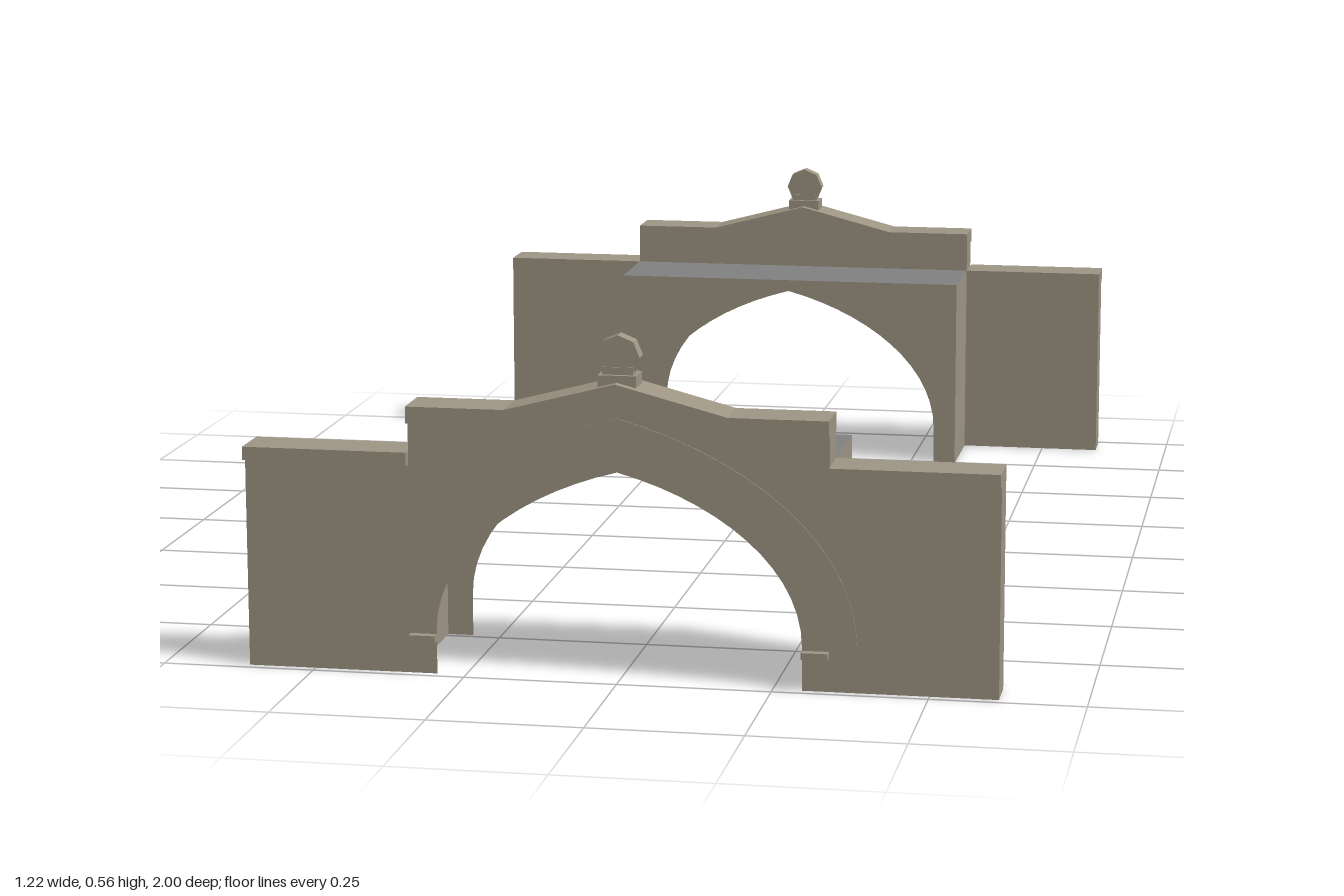
import * as THREE from 'three';

const stone = new THREE.MeshStandardMaterial({ color: 0x9f9685, side: THREE.DoubleSide });
stone.name = 'stone';
const roofGrey = new THREE.MeshStandardMaterial({ color: 0x828282, side: THREE.DoubleSide });
roofGrey.name = 'roof grey';

const Z_BLOCK = 0.74, Z_BACK = 0.92, Z_WALL = 0.985, Z_TRIM = 1;
const HALF = 0.61, INNER = 0.34, WING_TOP = 0.365;

// Pointed arch from the right springing over the apex to the left one
function archPoints(w, spring, apex, n = 14) {
  const curve = new THREE.CubicBezierCurve(
    new THREE.Vector2(w, spring),
    new THREE.Vector2(w, spring + (apex - spring) * 0.48),
    new THREE.Vector2(w * 0.54, spring + (apex - spring) * 0.85),
    new THREE.Vector2(0, apex)
  );
  const right = curve.getPoints(n);
  const left = right.slice(0, -1).reverse().map((p) => new THREE.Vector2(-p.x, p.y));
  return [...right, ...left];
}

const toShape = (pts) => new THREE.Shape(pts.map((p) => (p.isVector2 ? p : new THREE.Vector2(p[0], p[1]))));
const opening = () => archPoints(0.297, 0.07, 0.343);

// Outline with a left-to-right top edge and an arched underside
const archedShape = (top) => toShape([...top, [top[top.length - 1][0], 0], [0.297, 0], ...opening(), [-0.297, 0], [top[0][0], 0]]);

function createGate() {
  const gate = new THREE.Group();
  const add = (name, geometry, x = 0, y = 0, z = 0, material = stone) => {
    const mesh = new THREE.Mesh(geometry, material);
    mesh.name = name;
    mesh.position.set(x, y, z);
    gate.add(mesh);
    return mesh;
  };
  const plate = (name, shape, z) => add(name, new THREE.ShapeGeometry(shape), 0, 0, z);
  const slab = (name, shape, z0, z1) =>
    add(name, new THREE.ExtrudeGeometry(shape, { depth: z1 - z0, bevelEnabled: false }), 0, 0, z0);
  // Sheet standing across the wall, facing sideways
  const sideSheet = (name, x, y0, y1, z0, z1) => {
    const sheet = add(name, new THREE.PlaneGeometry(z1 - z0, y1 - y0), x, (y0 + y1) / 2, (z0 + z1) / 2);
    sheet.rotation.y = Math.sign(x) * Math.PI / 2;
  };

  // Hollow wall: outer face and gable back
  const gable = [[-INNER, 0.413], [-0.18, 0.413], [0, 0.46], [0.18, 0.413], [INNER, 0.413]];
  plate('outerFace', archedShape([[-HALF, WING_TOP - 0.01], [-INNER, WING_TOP - 0.01], ...gable,
    [INNER, WING_TOP - 0.01], [HALF, WING_TOP - 0.01]]), Z_WALL);
  plate('gableBack', toShape([[-INNER, WING_TOP], ...gable, [INNER, WING_TOP]]), Z_BACK);

  // Stepped and peaked coping
  const lift = 0.027;
  const gableTop = gable.map(([x, y]) => [x, y + lift]).reverse();
  slab('gableCoping', toShape([...gable, ...gableTop]), Z_BACK, Z_TRIM);

  for (const s of [-1, 1]) {
    // Wing back, end, coping and the little impost ledge
    plate('wingBack', toShape([[s * INNER, 0], [s * HALF, 0], [s * HALF, WING_TOP], [s * INNER, WING_TOP]]), Z_BACK);
    sideSheet('wingEnd', s * HALF, 0, WING_TOP - 0.01, Z_BACK, Z_WALL);
    sideSheet('gableEnd', s * INNER, WING_TOP - 0.01, 0.42, Z_BACK, Z_WALL);
    add('wingCoping', new THREE.BoxGeometry(HALF - INNER, 0.022, Z_TRIM - Z_BACK),
      s * (HALF + INNER) / 2, 0.354, (Z_BACK + Z_TRIM) / 2);
    add('impost', new THREE.BoxGeometry(0.043, 0.011, Z_TRIM - Z_WALL), s * 0.3185, 0.06, (Z_WALL + Z_TRIM) / 2);
    // Passage side wall
    sideSheet('passageSide', s * INNER, 0, WING_TOP, Z_BLOCK, Z_BACK);
  }

  // Shallow band around the arch
  const band = toShape([...archPoints(0.385, 0.07, 0.43), ...opening().reverse()]);
  slab('archBand', band, Z_WALL, Z_WALL + 0.002);

  // Passage block: inner face and flat roof
  plate('passageFace', archedShape([[-INNER, WING_TOP], [INNER, WING_TOP]]), Z_BLOCK);
  const roof = add('passageRoof', new THREE.PlaneGeometry(2 * INNER, Z_BACK - Z_BLOCK),
    0, WING_TOP, (Z_BLOCK + Z_BACK) / 2, roofGrey);
  roof.rotation.x = -Math.PI / 2;

  // Finial: plinth, neck and faceted disc
  const zf = 0.96;
  add('finialPlinth', new THREE.BoxGeometry(0.062, 0.02, 0.048), 0, 0.488, zf);
  add('finialNeck', new THREE.BoxGeometry(0.05, 0.014, 0.032), 0, 0.503, zf);
  const disc = new THREE.CylinderGeometry(0.035, 0.035, 0.028, 8).toNonIndexed();
  disc.computeVertexNormals();
  disc.rotateX(Math.PI / 2);
  add('finialDisc', disc, 0, 0.526, zf);
  return gate;
}

export function createModel() {
  const model = new THREE.Group();
  model.name = 'pairedGateways';
  const front = createGate();
  front.name = 'frontGateway';
  const back = createGate();
  back.name = 'backGateway';
  back.rotation.y = Math.PI;
  model.add(front, back);
  return model;
}
